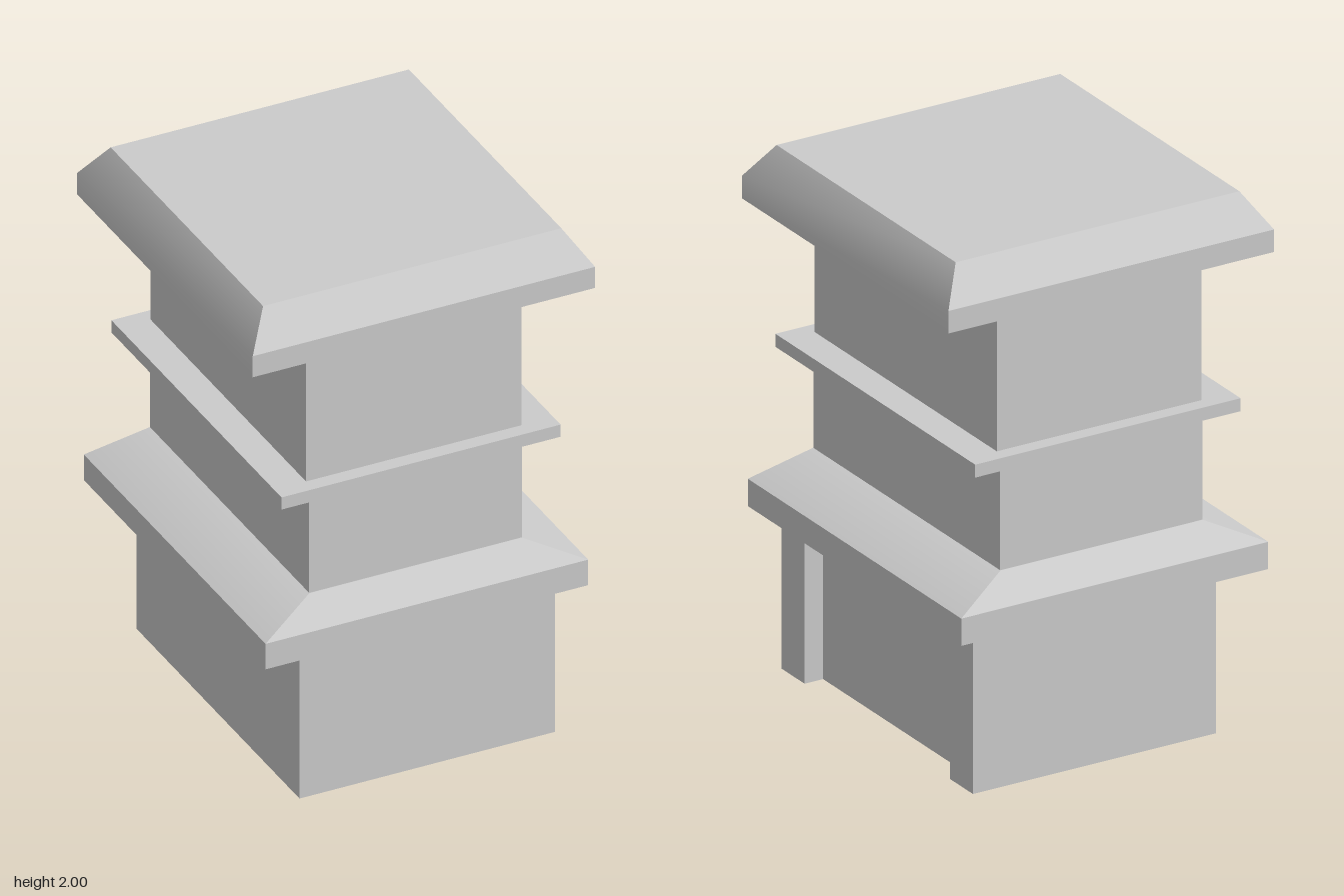
import * as THREE from 'three';
import { toCreasedNormals } from 'three/addons/utils/BufferGeometryUtils.js';

const material = new THREE.MeshStandardMaterial({ color: 0xcccccc });

// Closed solid through rectangular sections [halfX, halfZ, y], bottom to top
function stackedRects(sections) {
  const positions = [];
  const index = [];
  for (const [hx, hz, y] of sections) {
    positions.push(-hx, y, hz, hx, y, hz, hx, y, -hz, -hx, y, -hz);
  }
  const quad = (a, b, c, d) => index.push(a, b, c, a, c, d);
  for (let s = 0; s < sections.length - 1; s++) {
    for (let i = 0; i < 4; i++) {
      const j = (i + 1) % 4;
      quad(s * 4 + i, s * 4 + j, s * 4 + 4 + j, s * 4 + 4 + i);
    }
  }
  const t = (sections.length - 1) * 4;
  quad(3, 2, 1, 0);
  quad(t, t + 1, t + 2, t + 3);
  const geometry = new THREE.BufferGeometry();
  geometry.setAttribute('position', new THREE.Float32BufferAttribute(positions, 3));
  geometry.setIndex(index);
  // The cap's side slopes blend smoothly; every steeper edge stays sharp
  return toCreasedNormals(geometry, THREE.MathUtils.degToRad(34));
}

// Base block with a full-height recess between two corner piers on the +x side
function recessedBase(height) {
  const back = -0.455, wall = 0.455, pier = 0.53, hz = 0.628, gap = 0.476;
  const outline = [
    [back, -hz], [pier, -hz], [pier, -gap], [wall, -gap],
    [wall, gap], [pier, gap], [pier, hz], [back, hz],
  ];
  const shape = new THREE.Shape(outline.map(([x, z]) => new THREE.Vector2(x, z)));
  const geometry = new THREE.ExtrudeGeometry(shape, { depth: height, bevelEnabled: false });
  return geometry.rotateX(-Math.PI / 2);
}

export function createModel() {
  const model = new THREE.Group();
  model.name = 'tower';
  const add = (name, geometry) => {
    const mesh = new THREE.Mesh(geometry, material);
    mesh.name = name;
    model.add(mesh);
  };

  add('base', recessedBase(0.607));
  add('lowerEave', stackedRects([[0.622, 0.7, 0.607], [0.622, 0.7, 0.71], [0.41, 0.614, 0.81]]));
  add('middleStorey', stackedRects([[0.41, 0.612, 0.81], [0.41, 0.612, 1.205]]));
  add('ledge', stackedRects([[0.538, 0.655, 1.205], [0.538, 0.655, 1.254]]));
  add('upperStorey', stackedRects([[0.415, 0.598, 1.254], [0.415, 0.598, 1.785]]));
  add('roofCap', stackedRects([[0.66, 0.677, 1.785], [0.66, 0.677, 1.87], [0.575, 0.587, 2]]));
  return model;
}
